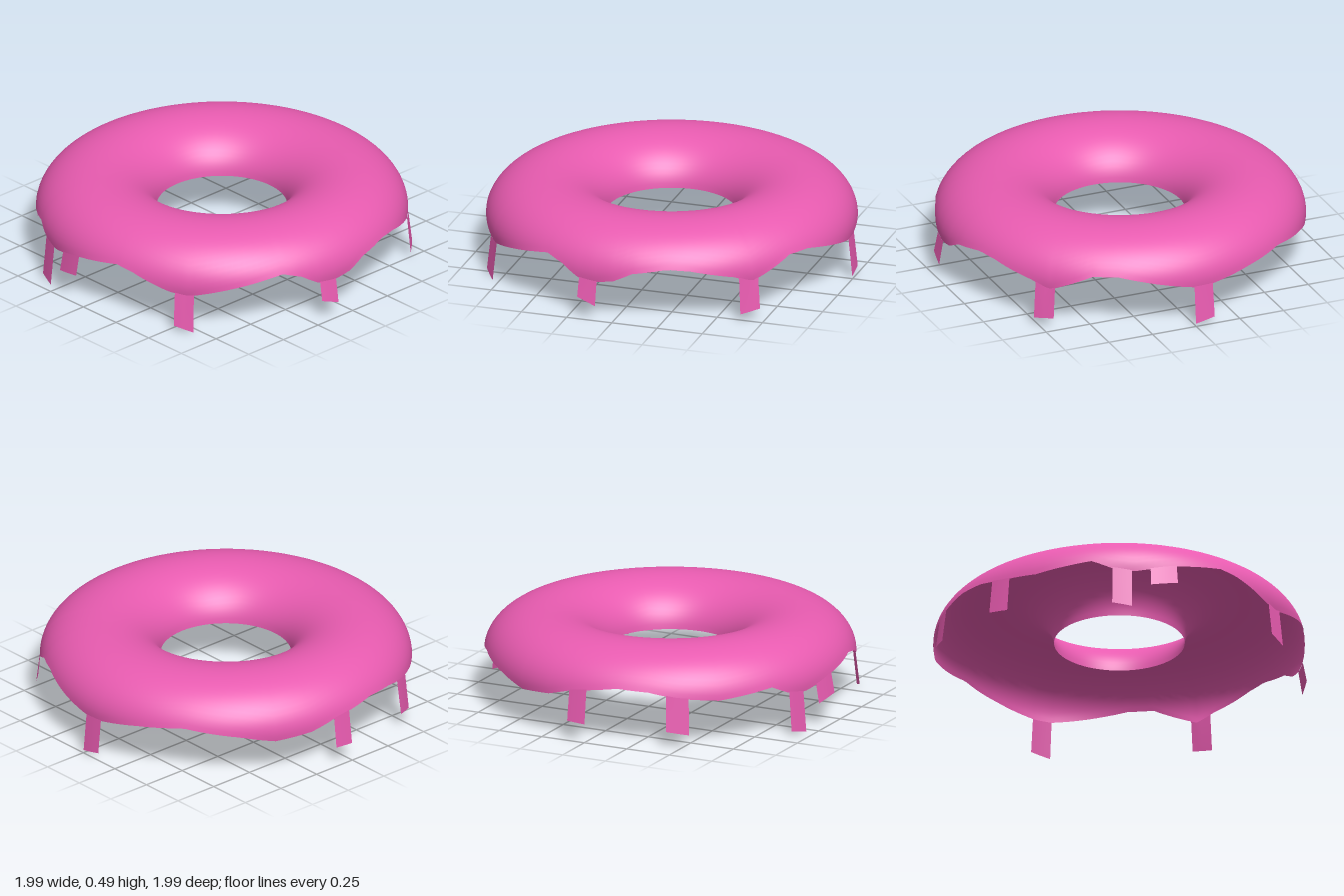
import * as THREE from 'three';

const RING = 0.66, RX = 0.317, RY = 0.24, MID = 0.25; // squashed tube of the ring

// Lower edge of the icing: [degrees from the front towards +x, height]
const EDGE = [
  [-180, 0.22], [-174, 0.22], [-160, 0.26], [-145, 0.29], [-127, 0.25], [-116, 0.21], [-104, 0.23],
  [-96, 0.27], [-80, 0.31], [-70, 0.3], [-61, 0.27], [-48, 0.25], [-37, 0.27], [-30, 0.285],
  [-24, 0.24], [-17, 0.22], [-11, 0.24], [-3, 0.27], [12, 0.31], [18, 0.29], [30, 0.22],
  [36, 0.2], [49, 0.25], [60, 0.29], [66, 0.31], [72, 0.28], [78, 0.22], [84, 0.21],
  [90, 0.23], [96, 0.28], [107, 0.31], [114, 0.3], [128, 0.25], [134, 0.21], [141, 0.26],
  [148, 0.31], [156, 0.31], [163, 0.285], [180, 0.22],
];

// Drips: [start angle, end angle, bottom height at start, bottom height at end]
const DRIPS = [
  [-64.5, -57.5, 0.095, 0.075], [-96, -90, 0.11, 0.105], [-23.5, -17.5, 0.03, 0.01],
  [-11.7, -3.4, 0.14, 0.165], [32, 38, 0.035, 0.005], [78.5, 84.5, 0.12, 0.085],
  [129.5, 136, 0.045, 0.06], [180, 186.3, 0.02, 0.04],
];

function edgeHeight(deg) {
  const a = deg > 180 ? deg - 360 : deg;
  let i = 1;
  while (i < EDGE.length - 1 && EDGE[i][0] < a) i++;
  const [a0, y0] = EDGE[i - 1], [a1, y1] = EDGE[i];
  return THREE.MathUtils.mapLinear(a, a0, a1, y0, y1);
}

const tubeAngle = (y) => Math.asin((y - MID) / RY);

function polar(deg, r, y) {
  const a = THREE.MathUtils.degToRad(deg);
  return [Math.sin(a) * r, y, Math.cos(a) * r];
}

// Grid surface from point(u, v); u runs around, v runs down and outwards
function surface(point, cols, rows, closed) {
  const pos = [], index = [];
  const n = closed ? cols : cols + 1;
  for (let j = 0; j <= rows; j++)
    for (let i = 0; i < n; i++) pos.push(...point(i / cols, j / rows));
  for (let j = 0; j < rows; j++)
    for (let i = 0; i < cols; i++) {
      const a = j * n + i, b = j * n + ((i + 1) % n);
      index.push(a, a + n, b, b, a + n, b + n);
    }
  const g = new THREE.BufferGeometry();
  g.setAttribute('position', new THREE.Float32BufferAttribute(pos, 3));
  g.setIndex(index);
  g.computeVertexNormals();
  return g;
}

export function createModel() {
  const group = new THREE.Group();
  group.name = 'icing';
  const pink = new THREE.MeshStandardMaterial({ color: 0xe85bb0, side: THREE.DoubleSide });
  const add = (name, geometry) => {
    const mesh = new THREE.Mesh(geometry, pink);
    mesh.name = name;
    group.add(mesh);
  };

  // Ring of icing, open underneath, with a wavy outer edge
  const inner = Math.PI - 0.04;
  add('icingRing', surface((u, v) => {
    const deg = -180 + 360 * u;
    const t = THREE.MathUtils.lerp(inner, tubeAngle(edgeHeight(deg)), v);
    return polar(deg, RING + RX * Math.cos(t), MID + RY * Math.sin(t));
  }, 180, 28, true));

  // Thin drips hanging from the edge, flaring slightly outwards
  DRIPS.forEach(([a0, a1, y0, y1], k) => {
    add('drip' + (k + 1), surface((u, v) => {
      const deg = THREE.MathUtils.lerp(a0, a1, u);
      const top = edgeHeight(deg) + 0.005;
      const r = RING + RX * Math.cos(tubeAngle(top)) + 0.002;
      const y = THREE.MathUtils.lerp(top, THREE.MathUtils.lerp(y0, y1, u), v);
      return polar(deg, THREE.MathUtils.lerp(r, 0.998, v), y);
    }, 4, 4, false));
  });

  return group;
}
